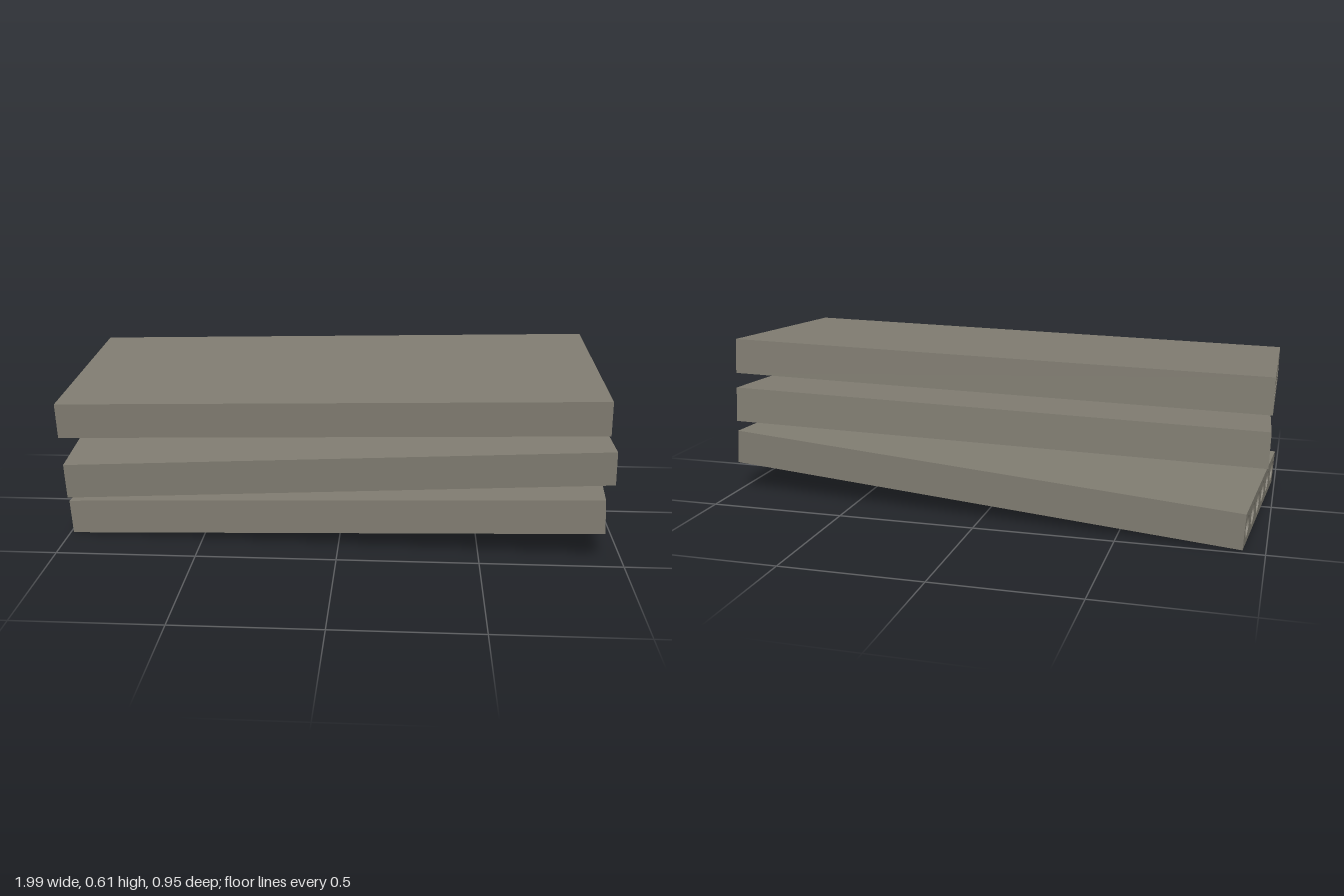
import * as THREE from 'three';
import { toCreasedNormals } from 'three/addons/utils/BufferGeometryUtils.js';

const LENGTH = 1.93, WIDTH = 0.798, THICK = 0.126;
const CORES = 6, CORE_RADIUS = 0.039, CORE_PITCH = 0.1337;

// Hollow-core slab: a rectangle with a row of round cores, extruded along its length
function slabGeometry() {
  const w = WIDTH / 2, h = THICK / 2;
  const section = new THREE.Shape([
    new THREE.Vector2(-w, -h), new THREE.Vector2(w, -h),
    new THREE.Vector2(w, h), new THREE.Vector2(-w, h),
  ]);
  for (let i = 0; i < CORES; i++) {
    const core = new THREE.Path();
    core.absarc((i - (CORES - 1) / 2) * CORE_PITCH, 0, CORE_RADIUS, 0, Math.PI * 2, true);
    section.holes.push(core);
  }
  const geometry = new THREE.ExtrudeGeometry(section, {
    depth: LENGTH, bevelEnabled: false, curveSegments: 12,
  });
  geometry.translate(0, 0, -LENGTH / 2);
  return toCreasedNormals(geometry, Math.PI / 5);
}

export function createModel() {
  const group = new THREE.Group();
  group.name = 'slabStack';
  const concrete = new THREE.MeshStandardMaterial({ color: 0x7f7b70 });
  concrete.name = 'concrete';
  const geometry = slabGeometry();

  // Each slab: centre, direction of its length, direction across its width
  const slabs = [
    { name: 'bottomSlab', at: [0, 0.123, 0], along: [1.92, 0.112, 0.155], across: [0.062, 0, -0.795] },
    { name: 'middleSlab', at: [-0.01, 0.317, 0.026], along: [1.927, 0.059, -0.081], across: [-0.036, 0.048, -0.796] },
    { name: 'topSlab', at: [-0.028, 0.509, 0.004], along: [1.928, 0.04, -0.014], across: [-0.007, 0.043, -0.795] },
  ];
  for (const { name, at, along, across } of slabs) {
    const z = new THREE.Vector3(...along).normalize();
    const y = new THREE.Vector3().crossVectors(z, new THREE.Vector3(...across)).normalize();
    const x = new THREE.Vector3().crossVectors(y, z);
    const slab = new THREE.Mesh(geometry, concrete);
    slab.name = name;
    slab.quaternion.setFromRotationMatrix(new THREE.Matrix4().makeBasis(x, y, z));
    slab.position.set(...at);
    group.add(slab);
  }
  return group;
}
